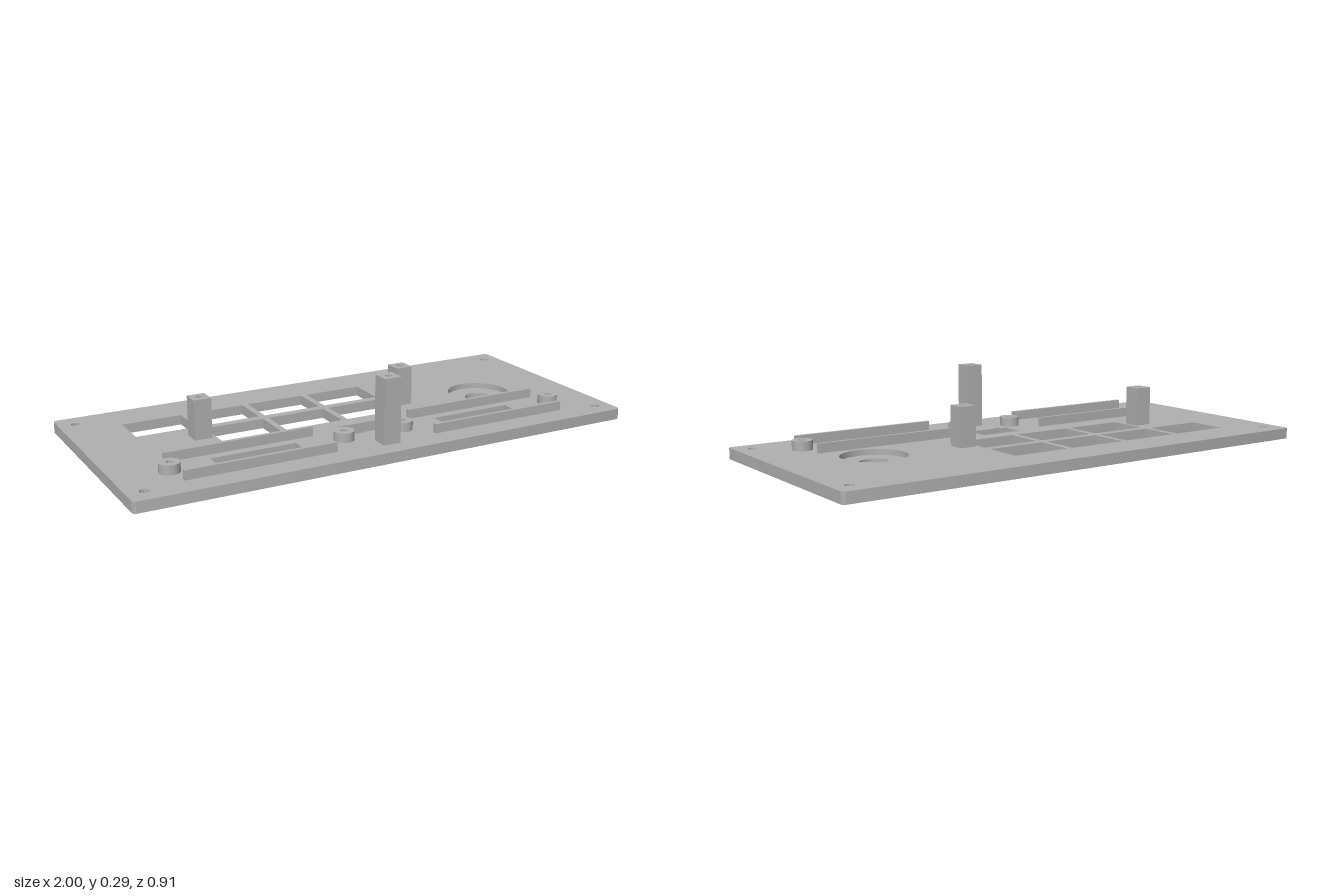
import * as THREE from 'three';
import { toCreasedNormals } from 'three/addons/utils/BufferGeometryUtils.js';

const TOP = 0.042;      // top face of the plate
const RECESS = 0.004;   // depth of the shallow underside recesses
const POCKET = 0.02;    // floor of the round pocket

// Outlines are drawn in plan; shape y = -z
const rect = (x0, x1, z0, z1) =>
  [[x0, z0], [x1, z0], [x1, z1], [x0, z1]].map(([x, z]) => new THREE.Vector2(x, -z));
const polyPath = (pts) => new THREE.Path(pts);
const circle = (x, z, r, Type = THREE.Path) => {
  const p = new Type();
  p.absarc(x, -z, r, 0, Math.PI * 2, false);
  return p;
};

function roundedOutline(w, d, r) {
  const s = new THREE.Shape();
  const corners = [[w - r, d - r], [r - w, d - r], [r - w, r - d], [w - r, r - d]];
  corners.forEach(([x, y], i) => s.absarc(x, y, r, i * Math.PI / 2, (i + 1) * Math.PI / 2, false));
  return s;
}

// Raise a plan shape with holes from y0 to y1
function slab(shape, holes, y0, y1) {
  shape.holes = holes;
  const g = new THREE.ExtrudeGeometry(shape, { depth: y1 - y0, bevelEnabled: false, curveSegments: 24 });
  g.rotateX(-Math.PI / 2);
  g.translate(0, y0, 0);
  return toCreasedNormals(g, 0.6);
}

export function createModel() {
  const model = new THREE.Group();
  model.name = 'controlPanel';
  const grey = new THREE.MeshStandardMaterial({ color: 0xb0b0b0 });
  grey.name = 'panel grey';

  const add = (name, geometry, parent = model) => {
    const m = new THREE.Mesh(geometry, grey);
    m.name = name;
    parent.add(m);
    return m;
  };

  // Openings
  const screwHoles = () => [-0.935, 0.935].flatMap((x) => [-0.378, 0.382].map((z) => circle(x, z, 0.017)));
  const windows = () => {
    const list = [];
    for (let row = 0; row < 2; row++) {
      for (let i = row; i < 4; i++) {
        const x = -0.782 + i * 0.26, z = -0.291 + row * 0.191;
        list.push(polyPath(rect(x, x + 0.236, z, z + 0.158)));
      }
    }
    return list;
  };
  const slots = () => [-0.63, 0.295].map((x) => polyPath(rect(x, x + 0.332, 0.205, 0.301)));
  const port = () => polyPath([
    [-0.08, 0.122], [0.09, 0.122], [0.09, 0.218], [-0.025, 0.218],
    [-0.025, 0.226], [-0.055, 0.226], [-0.055, 0.214], [-0.08, 0.214],
  ].map(([x, z]) => new THREE.Vector2(x, -z)));
  const dialHole = (r) => circle(0.636, 0.008, r);

  // Underside recesses for the window cover, slot covers and feet
  const recesses = [
    polyPath(rect(-0.855, 0.31, -0.363, 0.127)),
    polyPath(rect(-0.805, -0.19, 0.17, 0.335)),
    polyPath(rect(0.19, 0.805, 0.17, 0.335)),
    circle(0, 0.32, 0.062),
    ...[-0.932, 0.932].flatMap((x) => [-0.225, 0.28].map((z) => circle(x, z, 0.062))),
  ];

  // Plate in three layers: recessed underside, core, pocketed top
  const plate = new THREE.Group();
  plate.name = 'plate';
  model.add(plate);
  const outline = () => roundedOutline(1, 0.455, 0.015);
  add('plateUnderside', slab(outline(), [...screwHoles(), ...recesses, port(), dialHole(0.053)], 0, RECESS), plate);
  const through = () => [...screwHoles(), ...windows(), ...slots(), port()];
  add('plateCore', slab(outline(), [...through(), dialHole(0.053)], RECESS, POCKET), plate);
  add('plateTop', slab(outline(), [...through(), dialHole(0.123)], POCKET, TOP), plate);

  // Guide rails on both sides of each slot
  for (const x of [-0.785, 0.203]) {
    for (const z of [0.153, 0.344]) {
      add('guideRail', slab(new THREE.Shape(rect(x, x + 0.577, z, z + 0.015)), [], TOP, 0.078));
    }
  }

  // Round screw bosses
  for (const x of [-0.8, -0.127, 0.122, 0.795]) {
    add('screwBoss', slab(circle(x, 0.257, 0.038, THREE.Shape), [circle(x, 0.257, 0.013)], TOP, 0.078));
  }

  // Square standoff posts with blind screw holes
  for (const [x, z, h] of [[-0.573, -0.025, 0.195], [0.279, -0.025, 0.195], [0.003, 0.349, 0.291]]) {
    const post = new THREE.Group();
    post.name = 'standoffPost';
    model.add(post);
    const square = () => new THREE.Shape(rect(x - 0.034, x + 0.034, z - 0.034, z + 0.034));
    add('postBase', slab(square(), [], TOP, h - 0.07), post);
    add('postSocket', slab(square(), [circle(x, z, 0.013)], h - 0.07, h), post);
  }

  return model;
}
